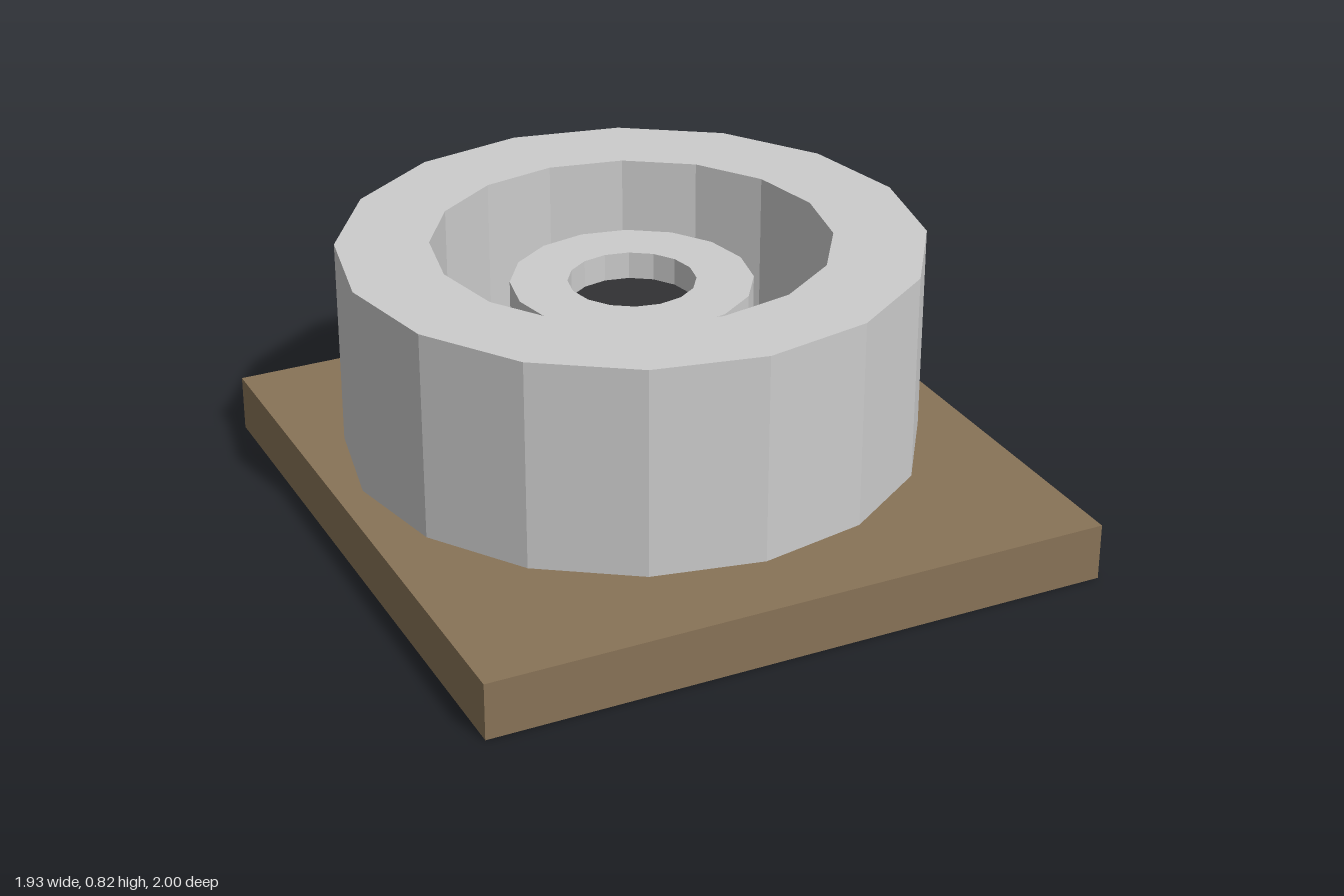
import * as THREE from 'three';

const SIDES = 16;

function material(color) {
  return new THREE.MeshStandardMaterial({ color, flatShading: true });
}

function addPart(group, name, geometry, color, x, y, z) {
  const mesh = new THREE.Mesh(geometry, material(color));
  mesh.name = name;
  mesh.position.set(x, y, z);
  group.add(mesh);
  return mesh;
}

export function createModel() {
  const model = new THREE.Group();
  model.name = 'ringOnPlate';

  const plateTop = 0.175;
  const rimTop = 0.82;
  const grooveFloor = 0.3;
  const hubTop = 0.685;
  const holeFloor = 0.6;
  const centreZ = -0.12;

  // Rectangular base plate
  addPart(model, 'basePlate', new THREE.BoxGeometry(1.93, plateTop, 1.98), 0x887357, 0, plateTop / 2, 0.01);

  // Faceted outer ring, sunken groove and raised hub in one turned profile
  const profile = [
    [0, plateTop], [0.88, plateTop], [0.88, rimTop],
    [0.6, rimTop], [0.6, grooveFloor],
    [0.365, grooveFloor], [0.365, hubTop],
    [0.193, hubTop], [0.193, holeFloor],
  ].map(([r, y]) => new THREE.Vector2(r, y));
  addPart(model, 'ringBody', new THREE.LatheGeometry(profile, SIDES), 0xcccccc, 0, 0, centreZ);

  // Dark floor of the centre hole
  const floor = new THREE.CircleGeometry(0.193, SIDES).rotateX(-Math.PI / 2);
  addPart(model, 'holeFloor', floor, 0x323234, 0, holeFloor, centreZ);

  return model;
}
